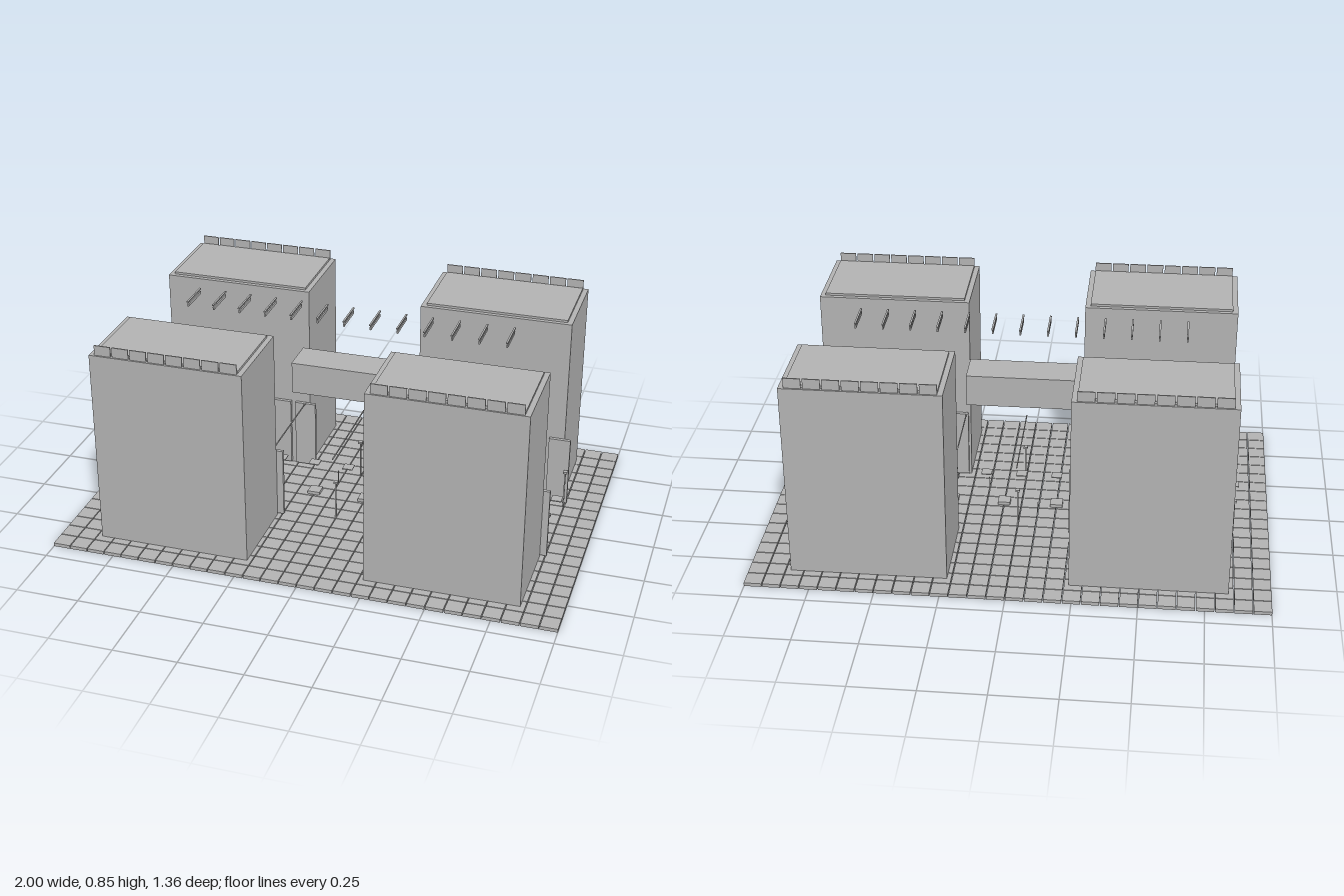
import * as THREE from 'three';

export function createModel() {
  const model = new THREE.Group();
  const grey = new THREE.MeshStandardMaterial({ color: 0xb2b2b2 });
  grey.name = 'concrete grey';
  const unit = 1 / 14; // paving module that spaces everything

  const group = (name) => {
    const g = new THREE.Group();
    g.name = name;
    model.add(g);
    return g;
  };
  // Box given by its centre in x and z, and its bottom and top heights
  const box = (parent, name, x, z, y0, y1, w, d) => {
    const m = new THREE.Mesh(new THREE.BoxGeometry(w, y1 - y0, d), grey);
    m.name = name;
    m.position.set(x, (y0 + y1) / 2, z);
    parent.add(m);
  };

  // Paving tiles
  const paving = group('paving');
  const pitch = 0.0716;
  for (let i = 0; i < 28; i++)
    for (let j = 0; j < 19; j++)
      box(paving, 'pavingTile', (i - 13.5) * pitch, (j - 9) * pitch, 0, 0.014, 0.068, 0.068);

  // Four towers with roof slabs, parapet panels and shop fronts
  for (const sx of [-1, 1])
    for (const sz of [-1, 1]) {
      const tower = group('tower');
      const x = sx * 0.536, z = sz * 0.395;
      box(tower, 'towerBody', x, z, 0.014, 0.807, 0.606, 0.36);
      box(tower, 'roofSlab', x, z, 0.807, 0.816, 0.565, 0.325);
      for (let i = 0; i < 8; i++)
        box(tower, 'parapetPanel', x + (i - 3.5) * unit, sz * 0.566, 0.807, 0.847, 0.065, 0.005);
      const first = sx < 0 ? -11 * unit : 4 * unit;
      for (let i = 0; i < 6; i++)
        box(tower, 'shopFront', first + i * 1.5 * unit, sz * 0.208, 0.02, 0.305, 0.087, 0.014);
    }

  // Skybridges between front and rear towers
  for (const sx of [-1, 1])
    box(model, 'skybridge', sx * 0.535, 0, 0.305, 0.45, 0.175, 0.43);

  // Raised central hall
  const hall = group('centralHall');
  box(hall, 'hallBody', 0, 0, 0.498, 0.618, 0.425, 0.14);
  box(hall, 'hallRoof', 0, 0, 0.618, 0.628, 0.425, 0.147);

  // Overhead light bars
  const lights = group('overheadLights');
  for (let i = -6; i <= 6; i++) {
    box(lights, 'lightRail', i * 1.5 * unit, 0, 0.83, 0.835, 0.007, 0.14);
    box(lights, 'lightBar', i * 1.5 * unit, 0, 0.811, 0.823, 0.006, 0.13);
  }

  // Cross cables
  const cables = group('cables');
  for (let i = -3; i <= 3; i++)
    box(cables, 'cable', i * 0.25, 0, 0.303, 0.307, 0.004, 0.43);

  // Hanging panels, benches and thin posts along the street
  const street = group('streetFurniture');
  for (let i = -6; i <= 6; i++)
    box(street, 'hangingPanel', i * 2 * unit, 0, 0.151, 0.155, 0.042, 0.042);
  for (let i = 0; i < 8; i++) {
    box(street, 'bench', (3 * i - 11) * unit, 0, 0.014, 0.027, 0.05, 0.05);
    box(street, 'bollard', (3 * i - 10) * unit, i % 2 ? -0.09 : 0.09, 0.014, 0.075, 0.003, 0.003);
  }

  // Street lamps
  for (const x of [-12 * unit, 0, 12 * unit])
    for (const z of [-0.172, 0.172]) {
      const lamp = group('streetLamp');
      box(lamp, 'lampPost', x, z, 0.014, 0.175, 0.005, 0.005);
      box(lamp, 'lampHead', x, z, 0.174, 0.182, 0.016, 0.018);
    }

  return model;
}
